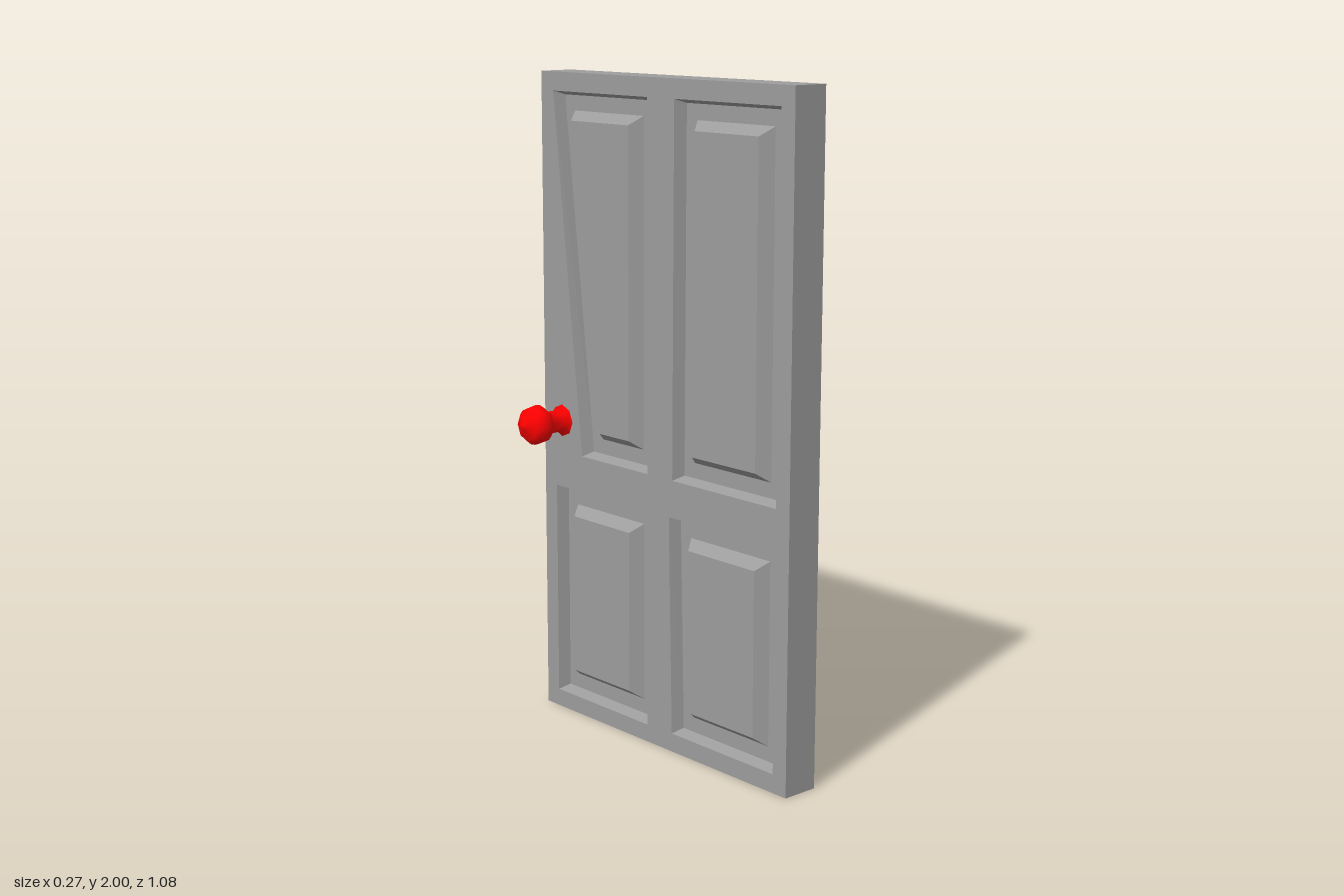
import * as THREE from 'three';

const FACE_X = 0.02, BACK_X = 0.135, HALF_W = 0.54, HEIGHT = 2;

// Recess corners [z, y], counter-clockwise from bottom left as seen on the panelled face
const panels = {
  upperKnobSidePanel: [[-0.36, 0.838], [-0.055, 0.838], [-0.055, 1.943], [-0.485, 1.943]],
  upperHingeSidePanel: [[0.055, 0.838], [0.487, 0.838], [0.487, 1.943], [0.06, 1.943]],
  lowerKnobSidePanel: [[-0.485, 0.054], [-0.055, 0.054], [-0.055, 0.725], [-0.485, 0.725]],
  lowerHingeSidePanel: [[0.055, 0.057], [0.487, 0.057], [0.487, 0.725], [0.04, 0.725]],
};

// Panel section from rim to raised field: [inset, height]
const section = [[0, 0], [0.012, -0.0375], [0.058, -0.0375], [0.085, 0]];

// Recessed groove with a bevelled raised field in the middle
function panelGeometry(corners) {
  const rings = section.map(([inset, h]) => corners.map(([u, v], k) => [
    u + (k === 0 || k === 3 ? inset : -inset),
    v + (k < 2 ? inset : -inset),
    h,
  ]));
  const pos = [];
  const quad = (a, b, c, d) => pos.push(...a, ...b, ...c, ...a, ...c, ...d);
  for (let i = 0; i < rings.length - 1; i++) {
    for (let k = 0; k < 4; k++) {
      const n = (k + 1) % 4;
      quad(rings[i][k], rings[i][n], rings[i + 1][n], rings[i + 1][k]);
    }
  }
  quad(...rings[rings.length - 1]);
  const geo = new THREE.BufferGeometry();
  geo.setAttribute('position', new THREE.Float32BufferAttribute(pos, 3));
  geo.computeVertexNormals();
  return geo;
}

export function createModel() {
  const model = new THREE.Group();
  model.name = 'door';
  const grey = new THREE.MeshStandardMaterial({ color: 0x9d9d9d });
  const red = new THREE.MeshStandardMaterial({ color: 0xff0000 });
  const add = (parent, name, geo, mat) => {
    const mesh = new THREE.Mesh(geo, mat);
    mesh.name = name;
    parent.add(mesh);
    return mesh;
  };

  // Slab: a box with its panelled side left open
  const box = new THREE.BoxGeometry(BACK_X - FACE_X, HEIGHT, HALF_W * 2);
  box.setIndex(Array.from(box.index.array).filter((_, i) => i < 6 || i >= 12));
  box.clearGroups();
  add(model, 'slab', box, grey).position.set((FACE_X + BACK_X) / 2, HEIGHT / 2, 0);

  // Panelled side, drawn flat and turned to face -x
  const side = new THREE.Group();
  side.name = 'panelledSide';
  side.rotation.y = -Math.PI / 2;
  side.position.x = FACE_X;
  model.add(side);

  // Stiles and rails around the four recesses
  const toVectors = (pts) => pts.map(([u, v]) => new THREE.Vector2(u, v));
  const frame = new THREE.Shape(toVectors([[-HALF_W, 0], [HALF_W, 0], [HALF_W, HEIGHT], [-HALF_W, HEIGHT]]));
  for (const corners of Object.values(panels)) frame.holes.push(new THREE.Path(toVectors(corners).reverse()));
  add(side, 'stilesAndRails', new THREE.ShapeGeometry(frame), grey);
  for (const [name, corners] of Object.entries(panels)) add(side, name, panelGeometry(corners), grey);

  // Knob: flared base, neck and ball, [radius, distance from the face]
  const profile = toVectors([[0.05, 0], [0.035, 0.017], [0.035, 0.057], [0.048, 0.07],
    [0.06, 0.087], [0.062, 0.106], [0.058, 0.123], [0.046, 0.138], [0, 0.155]]);
  const knob = add(model, 'knob', new THREE.LatheGeometry(profile, 8), red);
  knob.rotation.z = Math.PI / 2;
  knob.position.set(FACE_X, 0.936, -0.456);

  return model;
}
